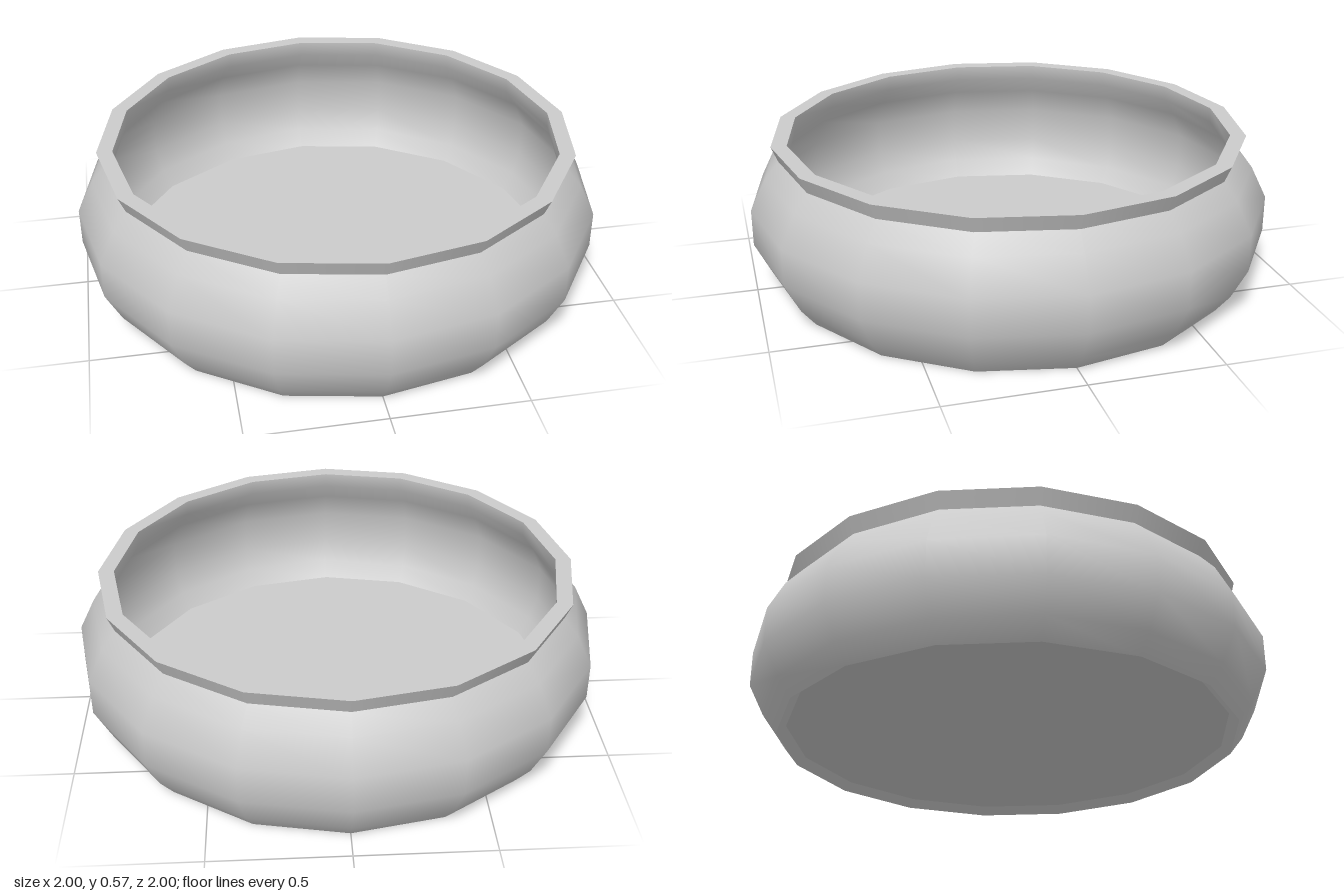
import * as THREE from 'three';

const SIDES = 16;

export function createModel() {
  const group = new THREE.Group();
  const material = new THREE.MeshStandardMaterial({ color: 0xcccccc });

  // Each band is its own lathe: smooth inside a band, sharp between bands.
  // Profiles run up the outside and down the inside so that faces point outward.
  function band(name, profile) {
    const points = profile.map(([r, y]) => new THREE.Vector2(r, y));
    const mesh = new THREE.Mesh(new THREE.LatheGeometry(points, SIDES), material);
    mesh.name = name;
    group.add(mesh);
  }

  // Recessed underside and the sloping foot around it
  band('underside', [[0, 0.03], [0.85, 0.03]]);
  band('footBevel', [[0.85, 0.03], [0.885, 0]]);

  // Bulging outer wall
  band('outerWall', [
    [0.885, 0], [0.94, 0.07], [1, 0.19], [1, 0.33], [0.94, 0.45], [0.885, 0.515],
  ]);

  // Flared lip with a flat top
  band('lip', [[0.885, 0.515], [0.91, 0.575]]);
  band('rimTop', [[0.91, 0.575], [0.85, 0.575]]);

  // Inner wall follows the bulge down to the floor
  band('innerWall', [
    [0.85, 0.575], [0.855, 0.515], [0.91, 0.44], [0.96, 0.33], [0.96, 0.19], [0.925, 0.1], [0.88, 0.035],
  ]);
  band('floor', [[0.88, 0.035], [0, 0.035]]);

  return group;
}
